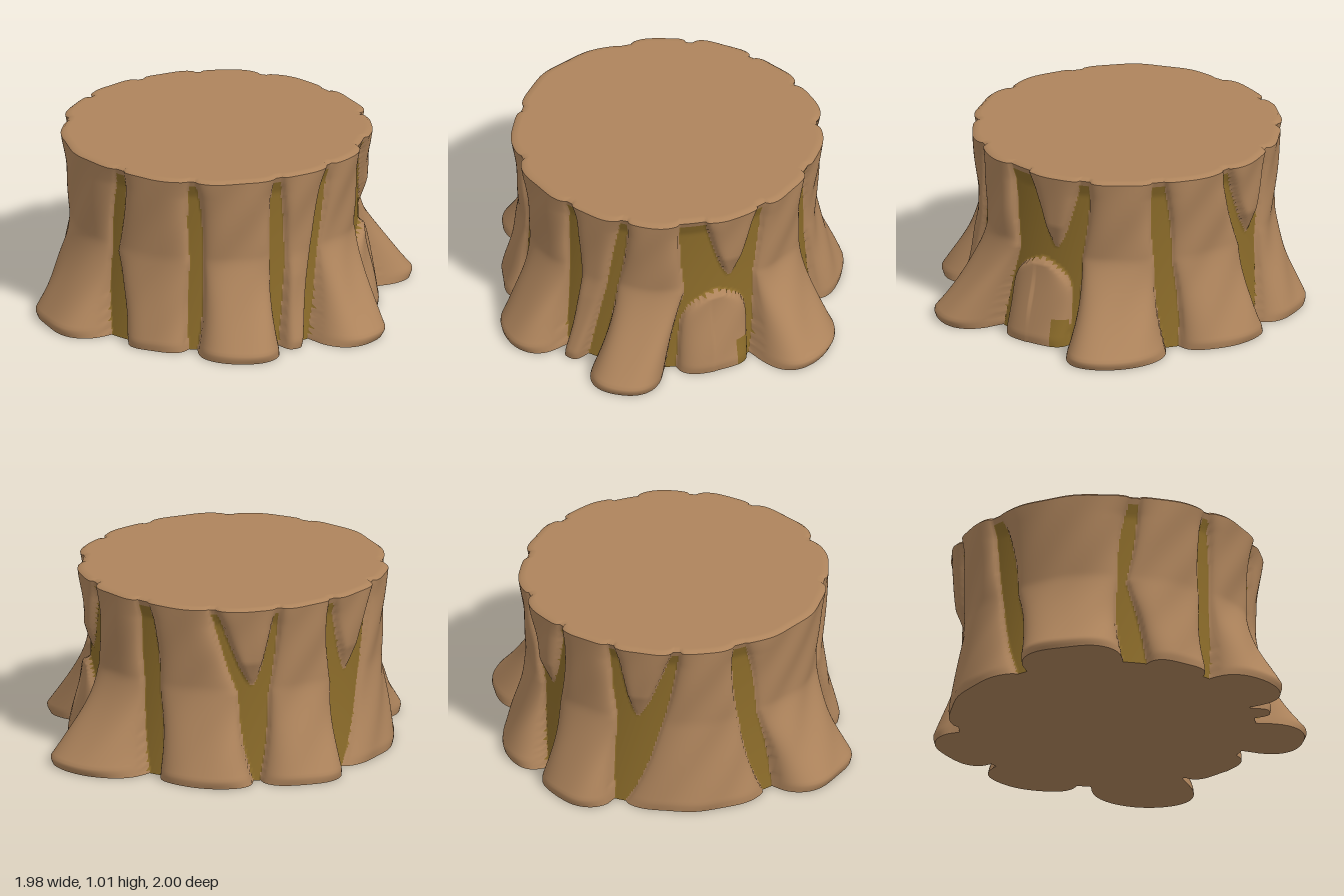
import * as THREE from 'three';

const COLS = 540, ROWS = 64, CX = -0.05, CZ = -0.03, DEG = Math.PI / 180;
const { lerp } = THREE.MathUtils;

// Full-height bark ridge: edge angles (degrees) at the foot, half way and top;
// lean moves the thickest part of the foot towards one edge
function fullRidge(foot, lean, low, mid, high) {
  const edge = (k, y) => (y < 0.5 ? lerp(low[k], mid[k], y * 2) : lerp(mid[k], high[k], y * 2 - 1));
  return {
    foot, lean,
    span: (y) => {
      const a = edge(0, y), b = edge(1, y);
      const half = (b - a) / 2 * (1 - 0.07 * Math.abs(Math.sin(2 * Math.PI * y)));
      return [(a + b) / 2, half];
    },
  };
}

// Wedge of bark hanging from the top edge down to a tip
function wedge(tipY, tip, a, b) {
  return {
    foot: 0.85, lean: 0,
    span: (y) => {
      const t = Math.max(0, (y - tipY) / (1 - tipY));
      return [lerp(tip, (a + b) / 2, t), (b - a) / 2 * t ** 0.7];
    },
  };
}

// Rounded knuckle of bark rising from the ground
function knuckle(foot, tipY, a, b) {
  return {
    foot, lean: 0,
    span: (y) => [(a + b) / 2 - 4 * y, (b - a) / 2 * Math.max(0, 1 - (y / tipY) ** 8)],
  };
}

const ridges = [
  fullRidge(1.13, 0, [18, 44], [10, 37], [12, 32]),
  fullRidge(0.94, 0, [49, 57], [42, 53], [35, 56]),
  fullRidge(1.06, -0.03, [59, 89], [60, 87], [59, 90]),
  fullRidge(0.92, 0, [93, 117], [93, 125], [93, 120]),
  fullRidge(1.06, 0, [127, 165], [129, 171], [124, 178]),
  fullRidge(0.9, 0, [170, 225], [180, 211], [183, 204]),
  fullRidge(0.99, -0.03, [230, 262], [230, 258], [233, 254]),
  fullRidge(0.98, -0.03, [265, 301], [271, 303], [282, 307]),
  fullRidge(1.13, 0.09, [307, 343], [311, 340], [312, 336]),
  wedge(0.56, -9, -20, 2),
  wedge(0.55, 221, 207, 230),
  wedge(0.55, 265, 256, 279),
  knuckle(0.91, 0.48, -15, 13),
];

// Vertical profiles: root flare, upper bark and groove floor
const flare = (y) => (y < 0.04 ? 0.94 + 1.5 * y : Math.max(0, 1 - (y - 0.04) / 0.5) ** 1.4);
const trunk = (y) => 0.825 + 0.04 * Math.max(0, 2 * y - 1) ** 1.3;
const groove = (y) => 0.787 + 0.1 * (y - 0.6) ** 2 + 0.03 * Math.max(0, y * 10 - 9);

// Surface radius and whether the point lies on a ridge
function surface(deg, y) {
  let r = groove(y), onRidge = false;
  for (const { foot, lean, span } of ridges) {
    const [middle, half] = span(y);
    const offset = ((deg - middle + 540) % 360) - 180;
    if (Math.abs(offset) >= half) continue;
    const d = offset / half;
    const lump = 0.01 * Math.sin(deg * 0.2 + y * 7) * Math.sin(y * 9 + deg * 0.1);
    const peak = trunk(y) + (foot + lean * d - 0.825) * flare(y) + lump;
    const rise = Math.sqrt(1 - Math.abs(d) ** lerp(4, 3, flare(y)));
    r = lerp(r, peak, rise * Math.min(1, half / 5));
    onRidge = true;
  }
  return { r, onRidge };
}

function ringPoint(i, y, inset = 1, lift = 0) {
  const deg = i * 360 / COLS, r = surface(deg, y).r * inset;
  return [CX + r * Math.cos(deg * DEG), y + lift, CZ + r * Math.sin(deg * DEG)];
}

// Bark covers the rim and every cell touching a ridge, except one bare nick at the foot
function isBark(i, j) {
  const y = (j + 0.5) / ROWS, deg = (i + 0.5) * 360 / COLS;
  if (Math.abs(deg - 347.5) < 3.5 - 8 * Math.abs(y - 0.08)
    && y < 0.16) return false;
  return y > 0.975 || [0, 0.5, 1].some((s) => surface((i + s) * 360 / COLS, y).onRidge);
}

function buildGeometry(pos, idx) {
  const g = new THREE.BufferGeometry();
  g.setAttribute('position', new THREE.Float32BufferAttribute(pos, 3));
  g.setIndex(idx);
  g.computeVertexNormals();
  return g;
}

// Trunk side, with bark ridges and grooves as two groups
function sideGeometry() {
  const pos = [], bark = [], floor = [];
  for (let j = 0; j <= ROWS; j++)
    for (let i = 0; i < COLS; i++) pos.push(...ringPoint(i, j / ROWS));
  for (let j = 0; j < ROWS; j++) {
    for (let i = 0; i < COLS; i++) {
      const a = j * COLS + i, b = j * COLS + (i + 1) % COLS, c = a + COLS, d = b + COLS;
      (isBark(i, j) ? bark : floor).push(a, c, b, b, c, d);
    }
  }
  const g = buildGeometry(pos, [...bark, ...floor]);
  g.addGroup(0, bark.length, 0);
  g.addGroup(bark.length, floor.length, 1);
  return g;
}

// Cap made of concentric rings [inset, lift] closed at a centre point
function capGeometry(y, rings, up) {
  const pos = [], idx = [];
  for (const [inset, lift] of rings)
    for (let i = 0; i < COLS; i++) pos.push(...ringPoint(i, y, inset, lift));
  const centre = rings.length * COLS;
  pos.push(CX, y + rings[rings.length - 1][1], CZ);
  const face = (a, b, c) => (up ? idx.push(a, b, c) : idx.push(a, c, b));
  for (let k = 0; k < rings.length; k++) {
    for (let i = 0; i < COLS; i++) {
      const a = k * COLS + i, b = k * COLS + (i + 1) % COLS;
      if (k === rings.length - 1) face(centre, b, a);
      else {
        face(a, a + COLS, b);
        face(b, a + COLS, b + COLS);
      }
    }
  }
  return buildGeometry(pos, idx);
}

export function createModel() {
  const bark = new THREE.MeshStandardMaterial({ color: 0xae845c });
  bark.name = 'barkBrown';
  const ochre = new THREE.MeshStandardMaterial({ color: 0x8c6c2a });
  ochre.name = 'grooveOchre';

  const stump = new THREE.Group();
  stump.name = 'treeStump';
  const add = (name, geometry, material) => {
    const mesh = new THREE.Mesh(geometry, material);
    mesh.name = name;
    stump.add(mesh);
  };
  add('barkSide', sideGeometry(), [bark, ochre]);
  add('cutTop', capGeometry(1, [[1, 0], [0.98, 0.014], [0.95, 0.014]], true), bark);
  add('underside', capGeometry(0, [[1, 0]], false), bark);
  return stump;
}
